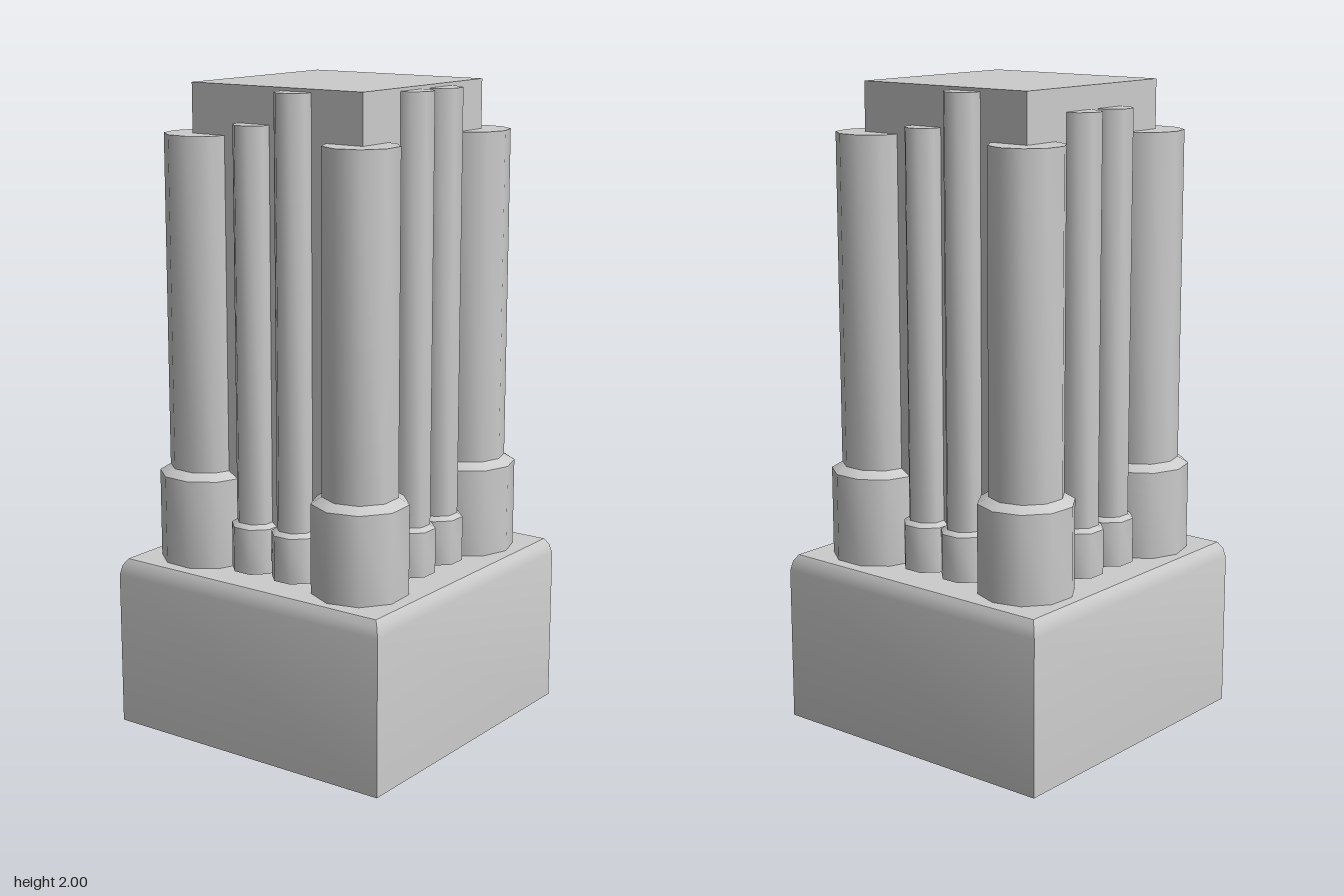
import * as THREE from 'three';
import { toCreasedNormals } from 'three/addons/utils/BufferGeometryUtils.js';

const material = new THREE.MeshStandardMaterial({ color: 0xcccccc });
const shellMaterial = new THREE.MeshStandardMaterial({ color: 0xcccccc, side: THREE.DoubleSide });

// Turned form with smooth sides and sharp rims; turn is in degrees.
function lathe(profile, sides, turn) {
  const points = profile.map(([r, y]) => new THREE.Vector2(r, y));
  const geometry = new THREE.LatheGeometry(points, sides, THREE.MathUtils.degToRad(turn));
  return toCreasedNormals(geometry, 0.85);
}

// Shaft standing on a wider bevelled foot.
function column(name, { x, z, foot, shaft, bottom, footTop, bevelTop, top, sides, turn }) {
  const profile = [[0, bottom], [foot, bottom], [foot, footTop], [shaft, bevelTop], [shaft, top], [0, top]];
  const mesh = new THREE.Mesh(lathe(profile, sides, turn), material);
  mesh.name = name;
  mesh.position.set(x, 0, z);
  return mesh;
}

export function createModel() {
  const model = new THREE.Group();
  model.name = 'columnTower';

  // Hollow square plinth, open below, with a rounded upper edge
  const q = Math.SQRT2;
  const plinthProfile = [[0.49 * q, 0], [0.49 * q, 0.485], [0.483 * q, 0.515], [0.47 * q, 0.535], [0, 0.535]];
  const plinth = new THREE.Mesh(lathe(plinthProfile, 4, 45), shellMaterial);
  plinth.name = 'plinth';
  model.add(plinth);

  // Square core
  const core = new THREE.Mesh(new THREE.BoxGeometry(0.62, 1.52, 0.62), material);
  core.name = 'core';
  core.position.set(0, 1.24, 0.005);
  model.add(core);

  // Thick corner columns: x, z, sides, turn
  const corners = [
    [-0.295, -0.285, 10, 33],
    [0.29, -0.29, 10, 18],
    [-0.295, 0.29, 10, 15],
    [0.29, 0.295, 9, 34],
  ];
  for (const [x, z, sides, turn] of corners) {
    model.add(column('cornerColumn', {
      x, z, sides, turn, foot: 0.147, shaft: 0.114,
      bottom: 0.525, footTop: 0.81, bevelTop: 0.83, top: 1.85,
    }));
  }

  // Slender columns, two on each face: x, z, top
  const slender = [
    [-0.077, 0.323, 1.89], [0.075, 0.323, 1.99],
    [-0.085, -0.315, 1.99], [0.065, -0.315, 1.88],
    [0.32, -0.075, 1.99], [0.32, 0.075, 1.99],
    [-0.325, -0.07, 1.93], [-0.325, 0.08, 1.93],
  ];
  for (const [x, z, top] of slender) {
    model.add(column('slenderColumn', {
      x, z, top, sides: 8, turn: 22.5, foot: 0.077, shaft: 0.06,
      bottom: 0.545, footTop: 0.685, bevelTop: 0.697,
    }));
  }
  return model;
}
